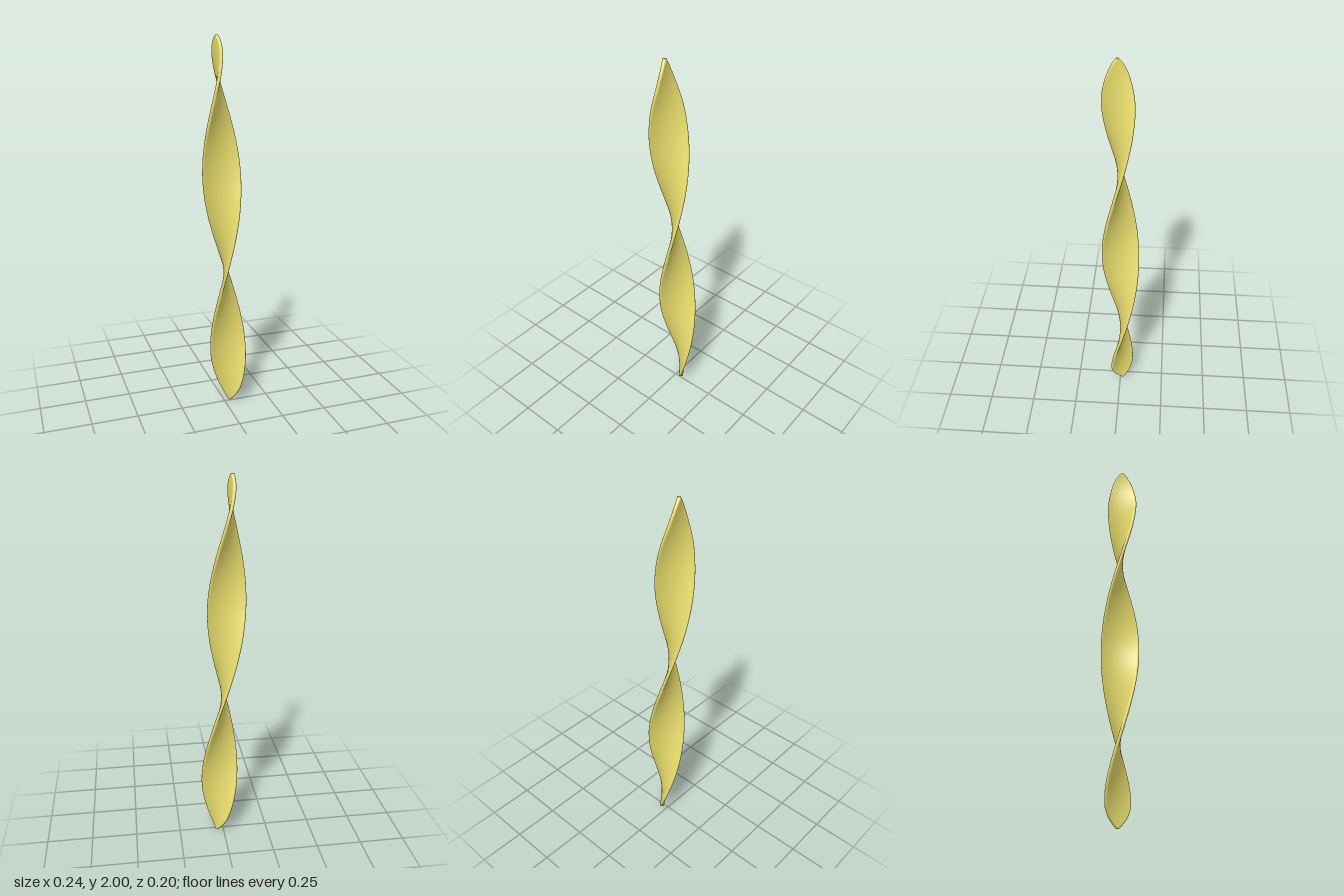
import * as THREE from 'three';

const HEIGHT = 2;
const HALF_THICK = 0.009;

// [height, half width] of the ribbon, pointed at both ends
const OUTLINE = [
  [0, 0.006], [0.02, 0.026], [0.05, 0.05], [0.1, 0.075], [0.2, 0.093], [0.35, 0.1],
  [0.6, 0.1], [0.9, 0.1], [1.2, 0.1], [1.5, 0.098], [1.7, 0.092], [1.8, 0.083],
  [1.9, 0.06], [1.95, 0.041], [1.98, 0.024], [2, 0.006],
];

function halfWidth(y) {
  let i = 0;
  while (i < OUTLINE.length - 2 && y > OUTLINE[i + 1][0]) i++;
  const slope = (k) => {
    const a = OUTLINE[Math.max(k - 1, 0)], b = OUTLINE[Math.min(k + 1, OUTLINE.length - 1)];
    return (b[1] - a[1]) / (b[0] - a[0]);
  };
  // smooth cubic between neighbouring points
  const [y0, w0] = OUTLINE[i], [y1, w1] = OUTLINE[i + 1];
  const h = y1 - y0, t = (y - y0) / h, t2 = t * t, t3 = t2 * t;
  return (2 * t3 - 3 * t2 + 1) * w0 + (t3 - 2 * t2 + t) * h * slope(i)
    + (3 * t2 - 2 * t3) * w1 + (t3 - t2) * h * slope(i + 1);
}

// Flat strip section with rounded edges: [along width, across thickness]
function section(w) {
  const r = Math.min(HALF_THICK, w), flat = w - r, points = [];
  for (const side of [1, -1]) {
    for (let i = 0; i <= 8; i++) {
      const a = -Math.PI / 2 + (Math.PI * i) / 8;
      points.push([side * (flat + r * Math.cos(a)), side * HALF_THICK * Math.sin(a)]);
    }
    for (let i = 1; i < 8; i++) points.push([side * flat * (1 - i / 4), side * HALF_THICK]);
  }
  return points;
}

function twistedRibbon(rows) {
  const positions = [], index = [];
  const axis = (y) => [0.035 - 0.042 * y, -0.012 + 0.016 * y];
  let n = 0;
  for (let j = 0; j <= rows; j++) {
    const y = HEIGHT * (0.5 - 0.5 * Math.cos((Math.PI * j) / rows));
    const angle = Math.PI / 2 - Math.PI * (y - 0.88);
    const c = Math.cos(angle), s = Math.sin(angle), [ax, az] = axis(y);
    const ring = section(halfWidth(y));
    n = ring.length;
    for (const [u, v] of ring) positions.push(ax + u * c - v * s, y, az + u * s + v * c);
  }
  for (let j = 0; j < rows; j++) {
    for (let i = 0; i < n; i++) {
      const a = j * n + i, b = j * n + ((i + 1) % n);
      index.push(a, a + n, b, b, a + n, b + n);
    }
  }
  // close both tips
  const bottom = positions.length / 3, top = bottom + 1, last = rows * n;
  for (const y of [0, HEIGHT]) positions.push(axis(y)[0], y, axis(y)[1]);
  for (let i = 0; i < n; i++) {
    const k = (i + 1) % n;
    index.push(bottom, i, k, top, last + k, last + i);
  }
  const geometry = new THREE.BufferGeometry();
  geometry.setAttribute('position', new THREE.Float32BufferAttribute(positions, 3));
  geometry.setIndex(index);
  geometry.computeVertexNormals();
  return geometry;
}

export function createModel() {
  const group = new THREE.Group();
  group.name = 'twistedStrip';
  const ribbon = new THREE.Mesh(
    twistedRibbon(160),
    new THREE.MeshStandardMaterial({ color: 0xe8dc6c }),
  );
  ribbon.name = 'ribbon';
  group.add(ribbon);
  return group;
}
